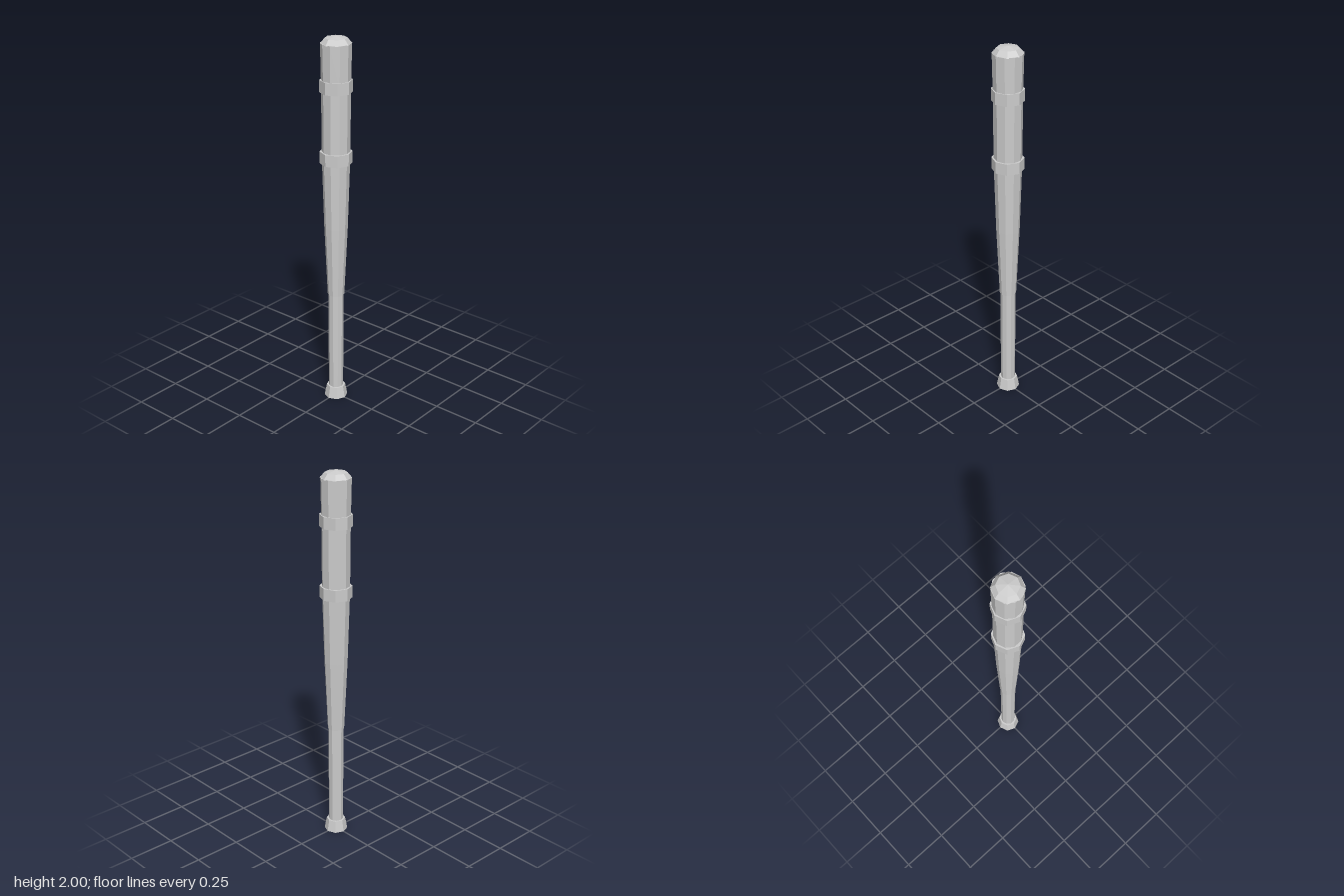
import * as THREE from 'three';

export function createModel() {
  const bat = new THREE.Group();
  bat.name = 'bat';
  const grey = new THREE.MeshStandardMaterial({ color: 0xcccccc });
  grey.name = 'grey';

  // Faceted solid of revolution from [radius, y] points, with a corner on the z axis
  const turned = (name, sides, points) => {
    const profile = points.map(([r, y]) => new THREE.Vector2(r, y));
    const geometry = new THREE.LatheGeometry(profile, sides).toNonIndexed();
    geometry.computeVertexNormals();
    const mesh = new THREE.Mesh(geometry, grey);
    mesh.name = name;
    bat.add(mesh);
  };

  // Flared knob at the foot
  turned('knob', 8, [[0, 0], [0.062, 0], [0.05, 0.063], [0, 0.063]]);

  // Slim grip, then the tapering barrel
  turned('handle', 10, [[0, 0.05], [0.039, 0.05], [0.041, 0.62], [0, 0.62]]);
  turned('barrel', 10, [[0, 0.615], [0.044, 0.615], [0.061, 1.0], [0.072, 1.38], [0.074, 1.75], [0.078, 1.965], [0, 1.965]]);

  // Raised bands around the barrel
  for (const [name, y] of [['lowerBand', 1.35], ['upperBand', 1.72]]) {
    turned(name, 8, [[0.07, y], [0.083, y], [0.083, y + 0.062], [0.07, y + 0.062], [0.07, y]]);
  }

  // Bevelled end cap
  turned('endCap', 8, [[0, 1.96], [0.079, 1.963], [0.056, 1.99], [0, 2]]);

  return bat;
}
